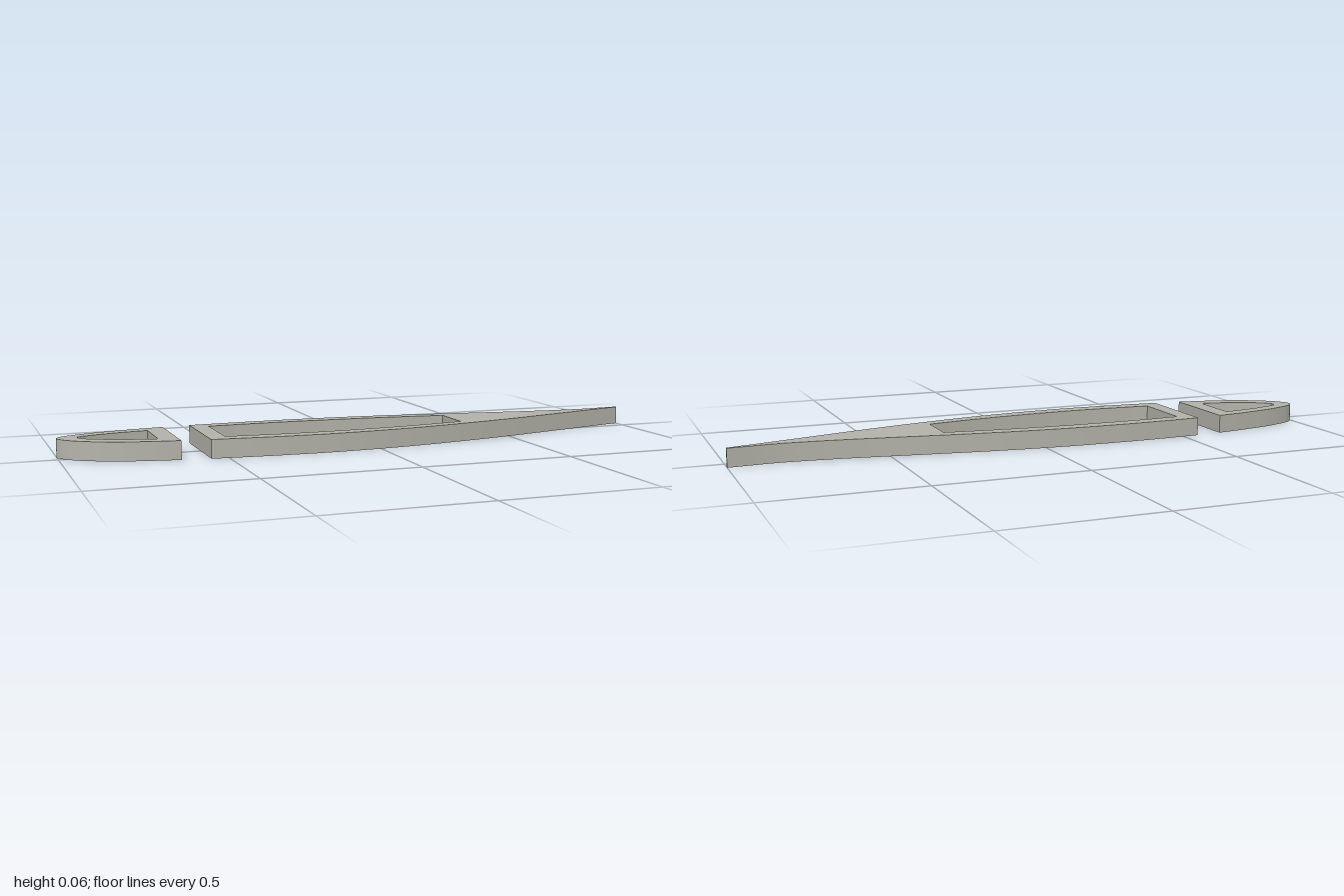
import * as THREE from 'three';
import { toCreasedNormals } from 'three/addons/utils/BufferGeometryUtils.js';

const HEIGHT = 0.06;

// Smooth curve through [x, z] points
function smooth(points, samples = 28) {
  return new THREE.SplineCurve(points.map(([x, z]) => new THREE.Vector2(x, z))).getPoints(samples);
}

// Flat plate lying on the ground, cut from an outline with an optional opening
function plate(name, outline, opening, material) {
  const shape = new THREE.Shape(outline);
  if (opening) shape.holes.push(new THREE.Path(opening));
  const flat = new THREE.ExtrudeGeometry(shape, { depth: HEIGHT, bevelEnabled: false });
  flat.rotateX(Math.PI / 2).translate(0, HEIGHT, 0);
  const mesh = new THREE.Mesh(toCreasedNormals(flat, 0.5), material);
  mesh.name = name;
  return mesh;
}

export function createModel() {
  const model = new THREE.Group();
  model.name = 'wingRib';
  const grey = new THREE.MeshStandardMaterial({ color: 0xb5b4ab });
  grey.name = 'warmGrey';

  // Rounded leading edge, open in the middle
  const nose = smooth([
    [-0.645, 0.132], [-0.72, 0.12], [-0.82, 0.095], [-0.91, 0.056], [-0.97, 0.012],
    [-1, -0.035], [-0.985, -0.068], [-0.94, -0.092], [-0.86, -0.118], [-0.75, -0.14], [-0.645, -0.155],
  ], 50);
  const noseOpening = [
    ...smooth([[-0.705, 0.073], [-0.78, 0.056], [-0.86, 0.026], [-0.91, -0.002], [-0.935, -0.026]], 14),
    ...smooth([[-0.935, -0.046], [-0.91, -0.058], [-0.85, -0.076], [-0.78, -0.09], [-0.705, -0.1]], 14),
  ];
  model.add(plate('noseRib', nose, noseOpening, grey));

  // Long middle frame between the spar gap and the tail
  const middle = [
    ...smooth([[-0.555, -0.163], [-0.4, -0.169], [-0.25, -0.169], [-0.1, -0.164],
      [0.05, -0.152], [0.2, -0.134], [0.385, -0.105]]),
    ...smooth([[0.385, 0.104], [0.2, 0.137], [0.05, 0.156], [-0.1, 0.166],
      [-0.22, 0.168], [-0.38, 0.161], [-0.555, 0.145]]),
  ];
  const middleOpening = [
    ...smooth([[-0.5, -0.117], [-0.35, -0.121], [-0.2, -0.119], [0, -0.109], [0.16, -0.093], [0.32, -0.072]]),
    ...smooth([[0.32, 0.074], [0.16, 0.097], [0, 0.111], [-0.18, 0.118], [-0.34, 0.113], [-0.5, 0.1]]),
  ];
  model.add(plate('middleRib', middle, middleOpening, grey));

  // Solid tapering tail with a curved upper and a straighter lower edge
  const tail = [
    ...smooth([[0.385, -0.105], [0.5, -0.086], [0.62, -0.067], [0.74, -0.052], [0.86, -0.045], [1, -0.053]]),
    ...smooth([[1, -0.044], [0.9, -0.02], [0.78, 0.01], [0.65, 0.043], [0.52, 0.075], [0.385, 0.104]]),
  ];
  model.add(plate('tailRib', tail, null, grey));

  return model;
}
